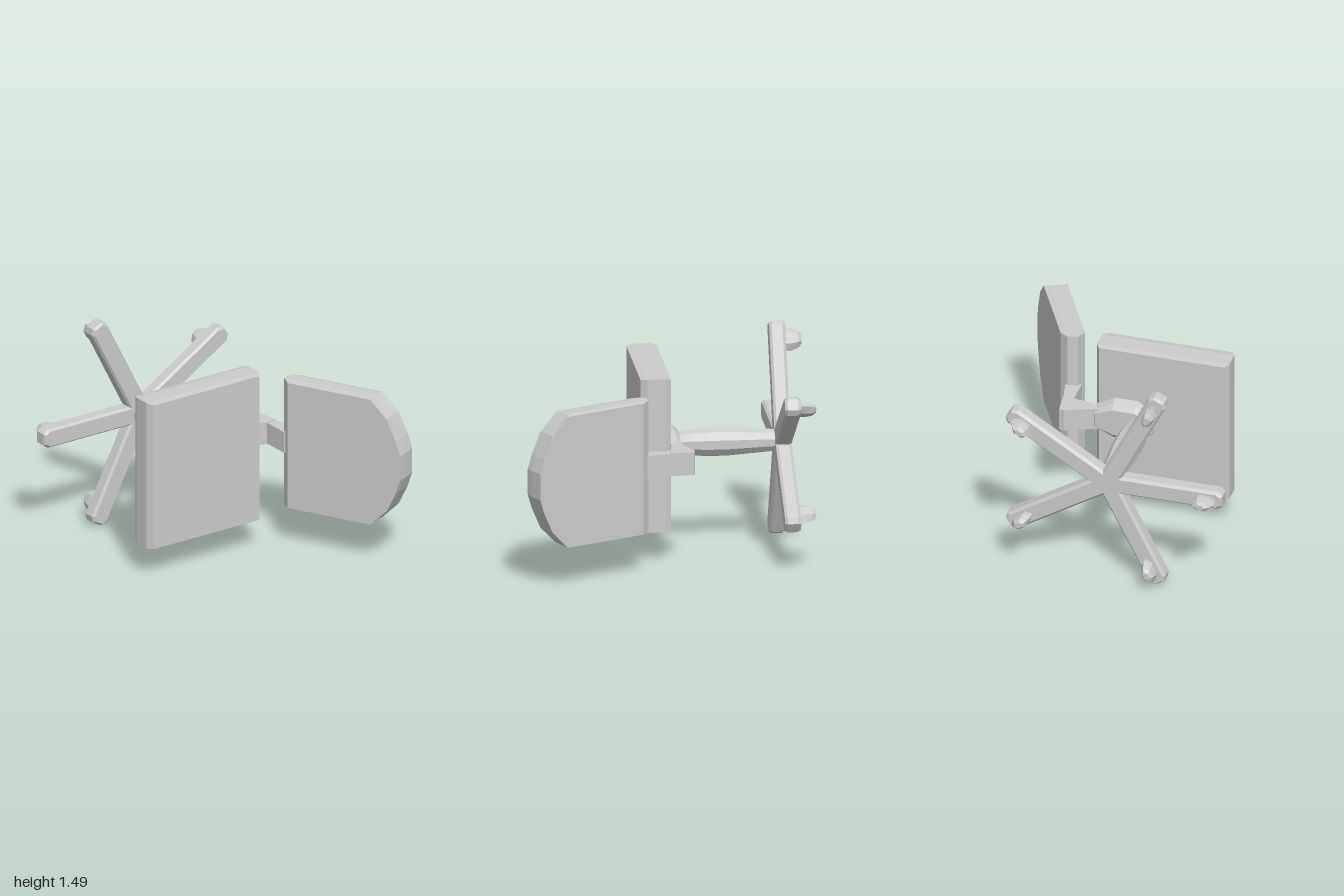
import * as THREE from 'three';

const material = new THREE.MeshStandardMaterial({ color: 0xcccccc, flatShading: true });

function mesh(name, geometry) {
  const m = new THREE.Mesh(geometry, material);
  m.name = name;
  return m;
}

// Stacks one outline along z; each level is [z, scaleX, scaleY, shiftX]
function loft(outline, levels) {
  const shape = new THREE.Shape(outline.map(([x, y]) => new THREE.Vector2(x, y)));
  const n = levels.length - 1;
  const geo = new THREE.ExtrudeGeometry(shape, { depth: n, steps: n, bevelEnabled: false });
  const p = geo.attributes.position;
  for (let i = 0; i < p.count; i++) {
    const [z, sx = 1, sy = 1, ox = 0] = levels[Math.round(p.getZ(i))];
    p.setXYZ(i, p.getX(i) * sx + ox, p.getY(i) * sy, z);
  }
  geo.computeVertexNormals();
  return geo;
}

// Upright prism from a plan outline of (x, z) points
function planPrism(outline, halfHeight) {
  return loft(outline, [[-halfHeight], [halfHeight]]).rotateX(Math.PI / 2);
}

export function createModel() {
  const model = new THREE.Group();
  const MID = 0.74, AXIS = -0.105;

  // Seat cushion, a square pad with softened side edges
  const seat = mesh('seat', loft(
    [[-0.465, -0.535], [0.465, -0.535], [0.465, 0.535], [-0.465, 0.535]],
    [[-0.045, 0.95, 0.985], [-0.005, 1, 1], [0.115, 1, 1], [0.16, 0.94, 0.985]]));
  seat.position.set(-0.245, MID, 0);
  model.add(seat);

  // Tilt mechanism under the seat
  const mechanism = mesh('mechanism', loft(
    [[-0.19, -0.08], [-0.08, -0.155], [0.08, -0.155], [0.22, -0.08],
      [0.22, 0.08], [0.08, 0.155], [-0.08, 0.155], [-0.19, 0.08]],
    [[-0.122, 0.93, 0.62], [-0.09, 1, 0.85], [-0.04, 1, 1]]));
  mechanism.position.y = MID;
  model.add(mechanism);

  // Gas column, swelling in the middle
  const profile = [[0, -0.8], [0.075, -0.8], [0.088, -0.62], [0.1, -0.46],
    [0.1, -0.32], [0.088, -0.2], [0.07, -0.11], [0, -0.11]];
  const column = mesh('column', new THREE.LatheGeometry(
    profile.map(([r, y]) => new THREE.Vector2(r, y)), 10).rotateX(Math.PI / 2));
  column.position.set(AXIS, MID, 0);
  model.add(column);

  // Five-legged base with a caster under each leg end
  const base = new THREE.Group();
  base.name = 'base';
  base.position.set(AXIS, MID, 0);
  const legGeo = loft(
    [[0, -0.067], [0.78, -0.067], [0.815, -0.04], [0.815, 0.04], [0.78, 0.067], [0, 0.067]],
    [[-0.888, 0.985, 0.75], [-0.868, 1, 1], [-0.795, 1, 1], [-0.778, 0.985, 0.8]]);
  const casterGeo = loft(
    [[-0.085, 0], [-0.04, -0.04], [0.04, -0.04], [0.085, 0], [0.04, 0.04], [-0.04, 0.04]],
    [[-0.88, 0.95, 0.9], [-0.925, 0.95, 1], [-0.975, 0.7, 0.85], [-0.998, 0.4, 0.45]].reverse());
  for (const degrees of [32, 117, 180, 243, 328]) {
    const leg = new THREE.Group();
    leg.name = 'baseLeg';
    leg.rotation.z = THREE.MathUtils.degToRad(degrees);
    const caster = mesh('caster', casterGeo);
    caster.position.x = 0.69;
    leg.add(mesh('legBar', legGeo), caster);
    base.add(leg);
  }
  model.add(base);

  // Bent arm from the mechanism to the backrest
  const arm = new THREE.Group();
  arm.name = 'backArm';
  arm.position.y = MID;
  arm.add(
    mesh('armElbow', planPrism([[0.18, -0.11], [0.225, -0.115], [0.4, -0.188], [0.435, -0.18],
      [0.455, -0.02], [0.38, -0.02], [0.22, -0.05], [0.18, -0.05]], 0.08)),
    mesh('armLink', planPrism([[0.38, -0.02], [0.455, -0.02], [0.49, 0.16], [0.38, 0.18]], 0.076)));
  model.add(arm);

  // Backrest with a rounded top end, leaning outward
  const half = [[-0.04, 0.465], [0.635, 0.465], [0.77, 0.34], [0.845, 0.19], [0.88, 0.09]];
  const outline = [...half, ...half.map(([x, y]) => [x, -y]).reverse()];
  const backrest = mesh('backrest', loft(outline, [
    [-0.069, 0.91, 0.985, 0.079], [-0.035, 0.98, 1, 0.018],
    [0.035, 1, 1, 0], [0.094, 0.93, 0.985, 0.055]]));
  backrest.position.set(0.45, MID - 0.003, 0.17);
  backrest.rotation.y = -1.094;
  model.add(backrest);

  return model;
}
